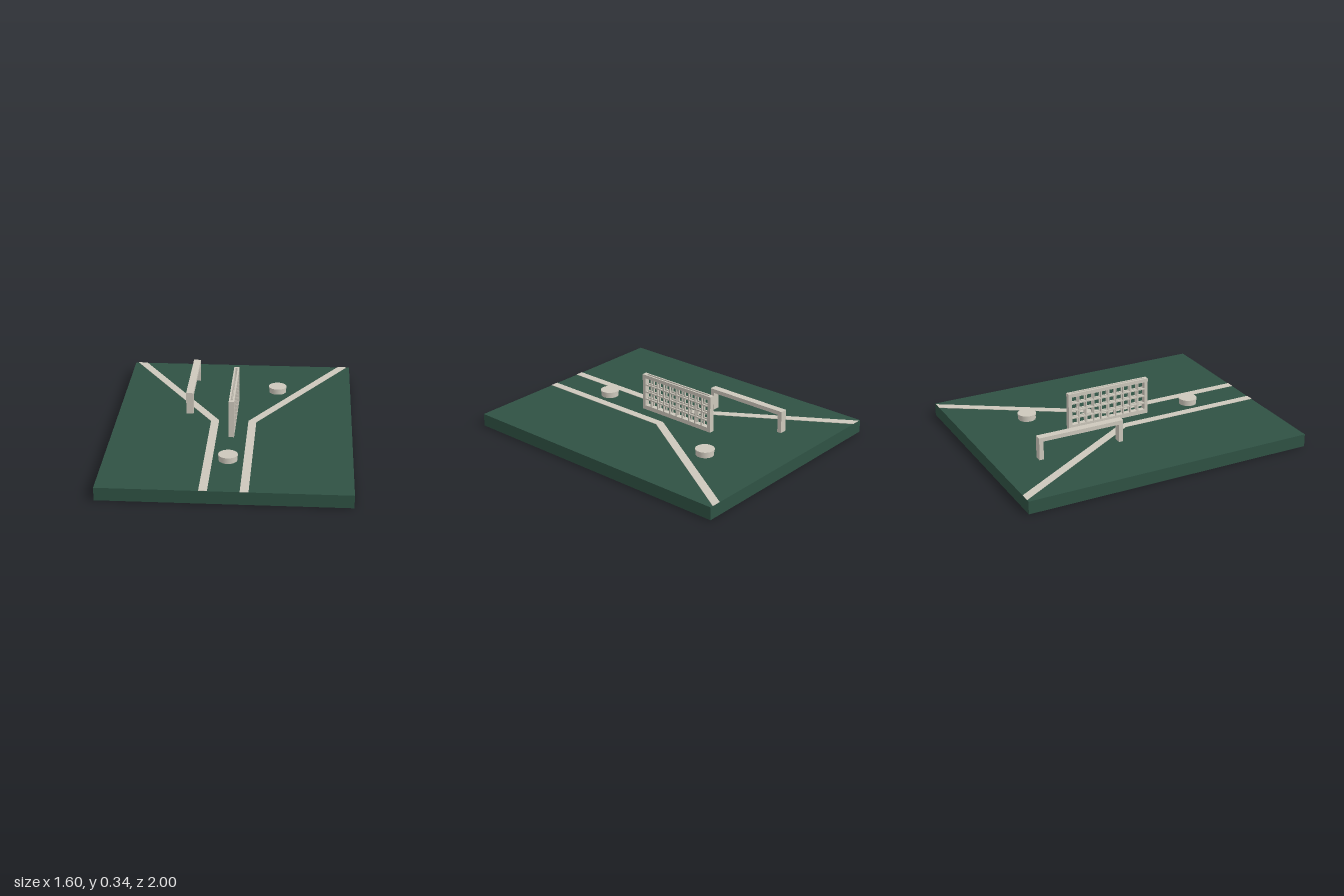
import * as THREE from 'three';

export function createModel() {
  const model = new THREE.Group();
  const green = new THREE.MeshStandardMaterial({ color: 0x2f5244 });
  green.name = 'dark green';
  const stone = new THREE.MeshStandardMaterial({ color: 0xcdc8bc });
  stone.name = 'pale stone';

  const add = (name, geometry, material, parent, x = 0, y = 0, z = 0) => {
    const mesh = new THREE.Mesh(geometry, material);
    mesh.name = name;
    mesh.position.set(x, y, z);
    parent.add(mesh);
    return mesh;
  };
  const box = (w, h, d) => new THREE.BoxGeometry(w, h, d);
  const group = (name) => {
    const g = new THREE.Group();
    g.name = name;
    model.add(g);
    return g;
  };

  // Base slab
  const top = 0.087;
  add('base', box(1.6, top, 2), green, model, 0, top / 2, 0);

  // Two mirrored painted lines, straight in front and splayed behind
  for (const side of [-1, 1]) {
    const outline = [[0.1, -1], [0.154, -1], [0.154, 0], [0.78, 1], [0.715, 1], [0.1, 0.015]];
    const shape = new THREE.Shape(outline.map(([x, y]) => new THREE.Vector2(side * x, y)));
    const strip = new THREE.ExtrudeGeometry(shape, { depth: 0.003, bevelEnabled: false });
    strip.rotateX(-Math.PI / 2);
    add(side > 0 ? 'leftLine' : 'rightLine', strip, stone, model, 0, top, 0);
  }

  // Lattice screen: two pierced panels joined at the ends and bottom
  const screen = group('latticeScreen');
  screen.position.set(0, top, -0.058);
  const length = 0.596, height = 0.256, border = 0.025, rows = 4, columns = 10, bar = 0.009;
  const panel = new THREE.Shape();
  panel.moveTo(-length / 2, 0).lineTo(length / 2, 0).lineTo(length / 2, height).lineTo(-length / 2, height);
  panel.closePath();
  const cellW = (length - 2 * border + bar) / columns;
  const cellH = (height - 0.03 - border + bar) / rows;
  for (let i = 0; i < columns; i++) {
    for (let j = 0; j < rows; j++) {
      const x = -length / 2 + border + i * cellW, y = 0.03 + j * cellH;
      const hole = new THREE.Path();
      hole.moveTo(x, y).lineTo(x, y + cellH - bar).lineTo(x + cellW - bar, y + cellH - bar).lineTo(x + cellW - bar, y);
      hole.closePath();
      panel.holes.push(hole);
    }
  }
  const panelGeometry = new THREE.ExtrudeGeometry(panel, { depth: 0.011, bevelEnabled: false });
  panelGeometry.translate(0, 0, -0.0055).rotateY(Math.PI / 2);
  for (const side of [-1, 1]) {
    add('screenPanel', panelGeometry, stone, screen, side * 0.0125, 0, 0);
    add('screenEnd', box(0.014, height, border), stone, screen, 0, height / 2, side * (length - border) / 2);
  }
  add('screenFoot', box(0.014, 0.03, length - 2 * border), stone, screen, 0, 0.015, 0);

  // Low rail on two legs
  const rail = group('rail');
  rail.position.set(-0.309, top, -0.415);
  add('railBeam', box(0.05, 0.028, 0.6), stone, rail, 0, 0.139, 0);
  for (const side of [-1, 1]) {
    add('railLeg', box(0.05, 0.125, 0.03), stone, rail, 0, 0.0625, side * 0.285);
  }

  // Round stools with a slightly wider cap
  for (const [x, z] of [[0, 0.57], [0.282, -0.53]]) {
    const stool = group('roundStool');
    stool.position.set(x, top, z);
    add('stoolBase', new THREE.CylinderGeometry(0.06, 0.06, 0.03, 32), stone, stool, 0, 0.015, 0);
    add('stoolCap', new THREE.CylinderGeometry(0.063, 0.063, 0.012, 32), stone, stool, 0, 0.035, 0);
  }

  return model;
}
